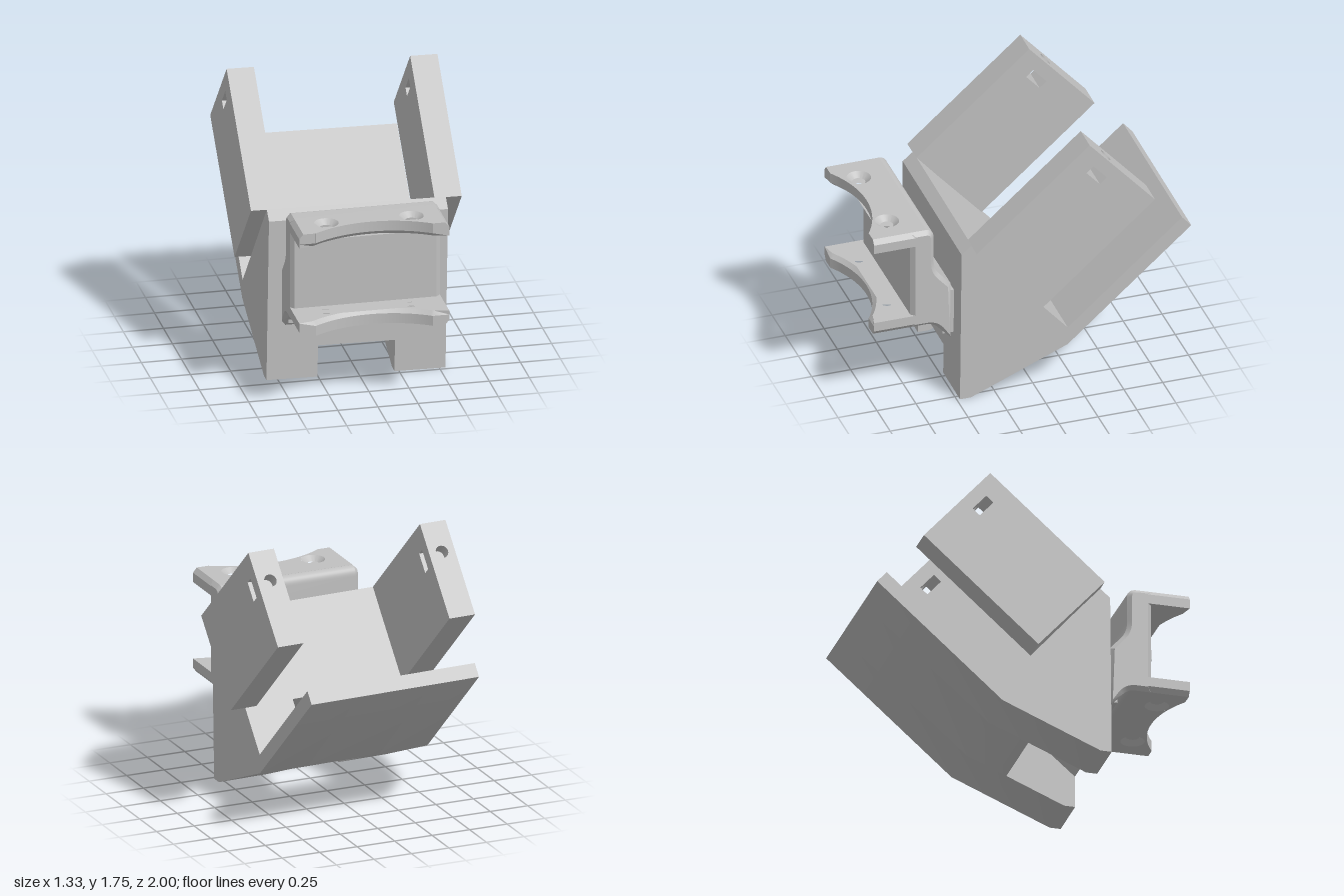
import * as THREE from 'three';
import { toCreasedNormals } from 'three/addons/utils/BufferGeometryUtils.js';

const grey = new THREE.MeshStandardMaterial({ color: 0xc0c0c0 });
grey.name = 'light grey';

function add(parent, name, geometry) {
  const mesh = new THREE.Mesh(toCreasedNormals(geometry, 0.5), grey);
  mesh.name = name;
  parent.add(mesh);
  return mesh;
}

const polygon = (pts) => new THREE.Shape(pts.map(([a, b]) => new THREE.Vector2(a, b)));

// Extrudes a (z, y) side profile along x from x0 to x1, optionally with chamfered rims.
function sideExtrude(shape, x0, x1, chamfer = 0) {
  const g = new THREE.ExtrudeGeometry(shape, {
    depth: x1 - x0 - 2 * chamfer, curveSegments: 8, bevelEnabled: chamfer > 0,
    bevelSize: chamfer, bevelThickness: chamfer, bevelOffset: -chamfer, bevelSegments: 1,
  });
  return g.rotateY(-Math.PI / 2).translate(x1 - chamfer, 0, 0);
}

// Moves vertices in place by a rule.
function deform(g, rule) {
  const p = g.attributes.position, v = new THREE.Vector3();
  for (let i = 0; i < p.count; i++) {
    rule(v.fromBufferAttribute(p, i));
    p.setXYZ(i, v.x, v.y, v.z);
  }
  return g;
}

// Wedge-shaped body with a sloping tray and a slot running through its foot.
function buildBody(parent) {
  const W = 0.558, N = 0.24;
  const full = [[0.48, 0], [0.475, 1.04], [0.41, 1.095], [0, 0.62], [-0.21, 0.38],
    [-0.94, 1.03], [-1, 0.96], [-0.21, 0.26], [0.41, 0]];
  const upper = [[0.479, 0.205], [0.475, 1.04], [0.41, 1.095], [0, 0.62]];
  const tray = [[0.045, 0.153], [-0.21, 0.38], [-0.94, 1.03], [-1, 0.96], [-0.21, 0.26]];
  add(parent, 'rightBodySide', sideExtrude(polygon(full), -W, -N));
  add(parent, 'leftBodySide', sideExtrude(polygon(full), N, W));
  add(parent, 'bodyCentre', sideExtrude(polygon(upper), -N, N));
  add(parent, 'trayCentre', sideExtrude(polygon(tray), -N, N));
}

// Slanted arm: side slot near its end, with a round bore from the end face into the slot.
function buildArm(parent, name, x0, x1) {
  const angle = 0.727, c = Math.cos(angle), s = Math.sin(angle);
  const length = 0.963, width = 0.635, cap = 0.085, slotEnd = 0.145;
  // a runs along the arm, b across it
  const P = (a, b) => [0.41 - a * c - b * s, 1.095 + a * s - b * c];
  const arm = new THREE.Group();
  arm.name = name;
  const top = length - cap, low = length - slotEnd;
  add(arm, 'armBlock', sideExtrude(polygon([
    P(-0.003, 0), P(top, 0), P(top, 0.135), P(low, 0.135), P(low, 0.265), P(top, 0.265),
    P(top, width), P(-0.003, width)]), x0, x1));

  const face = polygon([[x0, 0], [x1, 0], [x1, width], [x0, width]]);
  const bore = new THREE.Path();
  bore.absarc((x0 + x1) / 2, 0.2, 0.04, 0, Math.PI * 2, true);
  face.holes.push(bore);
  const g = new THREE.ExtrudeGeometry(face, { depth: cap, bevelEnabled: false, curveSegments: 16 });
  const [z, y] = P(top, 0);
  g.applyMatrix4(new THREE.Matrix4().makeBasis(
    new THREE.Vector3(1, 0, 0), new THREE.Vector3(0, -c, -s), new THREE.Vector3(0, s, -c),
  ).setPosition(0, y, z));
  add(arm, 'armEnd', g);
  parent.add(arm);
}

// Bracket flange: concave front edge and two countersunk screw holes; y = 0 is the inner face.
function buildFlange(name) {
  const H = 0.4675, R = 0.66, CZ = 1.55, T = 0.09;
  const flange = new THREE.Group();
  flange.name = name;

  const layer = (y0, y1, holeRadius) => {
    const s = new THREE.Shape();
    s.moveTo(-H, 0.66);
    s.lineTo(-H, 1);
    s.lineTo(-0.365, 1);
    s.absarc(0, CZ, R, Math.atan2(-0.55, -0.365), Math.atan2(-0.55, 0.365), false);
    s.lineTo(H, 1);
    s.lineTo(H, 0.66);
    for (const x of [-0.265, 0.265]) {
      const hole = new THREE.Path();
      hole.absarc(x, 0.85, holeRadius, 0, Math.PI * 2, true);
      s.holes.push(hole);
    }
    return new THREE.ExtrudeGeometry(s, { depth: y1 - y0, bevelEnabled: false, curveSegments: 24 })
      .rotateX(Math.PI / 2).translate(0, y1, 0);
  };

  // inner layer: chamfer along the concave edge
  add(flange, 'flangeInner', deform(layer(0, 0.025, 0.04), (v) => {
    const d = Math.hypot(v.x, v.z - CZ);
    if (v.y < 0.001 && d < R + 0.002) {
      v.x *= (R + 0.025) / d;
      v.z = CZ + (v.z - CZ) * (R + 0.025) / d;
    }
  }));
  add(flange, 'flangeMiddle', layer(0.025, 0.06, 0.04));
  // outer layer: chamfer along both sides
  add(flange, 'flangeOuter', deform(layer(0.06, T, 0.075), (v) => {
    if (v.y > T - 0.001 && Math.abs(v.x) > H - 0.001) v.x -= Math.sign(v.x) * 0.025;
  }));
  for (const x of [-0.265, 0.265]) {
    const cone = new THREE.LatheGeometry(
      [new THREE.Vector2(0.075, T), new THREE.Vector2(0.04, 0.06)], 32);
    add(flange, 'countersink', cone.translate(x, 0, 0.85));
  }
  return flange;
}

// C-shaped front bracket: web, two flanges and the pad joining it to the body.
function buildBracket() {
  const bracket = new THREE.Group();
  bracket.name = 'frontBracket';
  const s = new THREE.Shape();
  s.moveTo(0.76, 1.177);
  s.lineTo(0.67, 1.177);
  s.quadraticCurveTo(0.61, 1.177, 0.61, 1.12);
  s.lineTo(0.61, 0.96);
  s.quadraticCurveTo(0.61, 0.89, 0.575, 0.85);
  s.lineTo(0.5, 0.765);
  s.lineTo(0.5, 0.38);
  s.lineTo(0.575, 0.46);
  s.quadraticCurveTo(0.61, 0.503, 0.66, 0.503);
  s.lineTo(0.76, 0.503);
  add(bracket, 'bracketWeb', sideExtrude(s, -0.4675, 0.4675, 0.025));
  add(bracket, 'bracketPad',
    new THREE.BoxGeometry(0.87, 0.3, 0.08).translate(0, 0.56, 0.51));

  const top = buildFlange('topFlange');
  top.position.y = 1.087;
  const bottom = buildFlange('bottomFlange');
  bottom.position.y = 0.593;
  bottom.rotation.z = Math.PI;
  bracket.add(top, bottom);
  bracket.position.x = -0.0225;
  return bracket;
}

export function createModel() {
  const model = new THREE.Group();
  model.name = 'cradleMount';

  // the cradle sits at a very slight tilt to the bracket
  const cradle = new THREE.Group();
  cradle.name = 'cradle';
  buildBody(cradle);
  buildArm(cradle, 'leftArm', 0.487, 0.657);
  buildArm(cradle, 'rightArm', -0.657, -0.487);
  cradle.rotation.z = -0.016;
  cradle.position.set(-0.02, 0.009, 0);

  model.add(cradle, buildBracket());
  return model;
}
